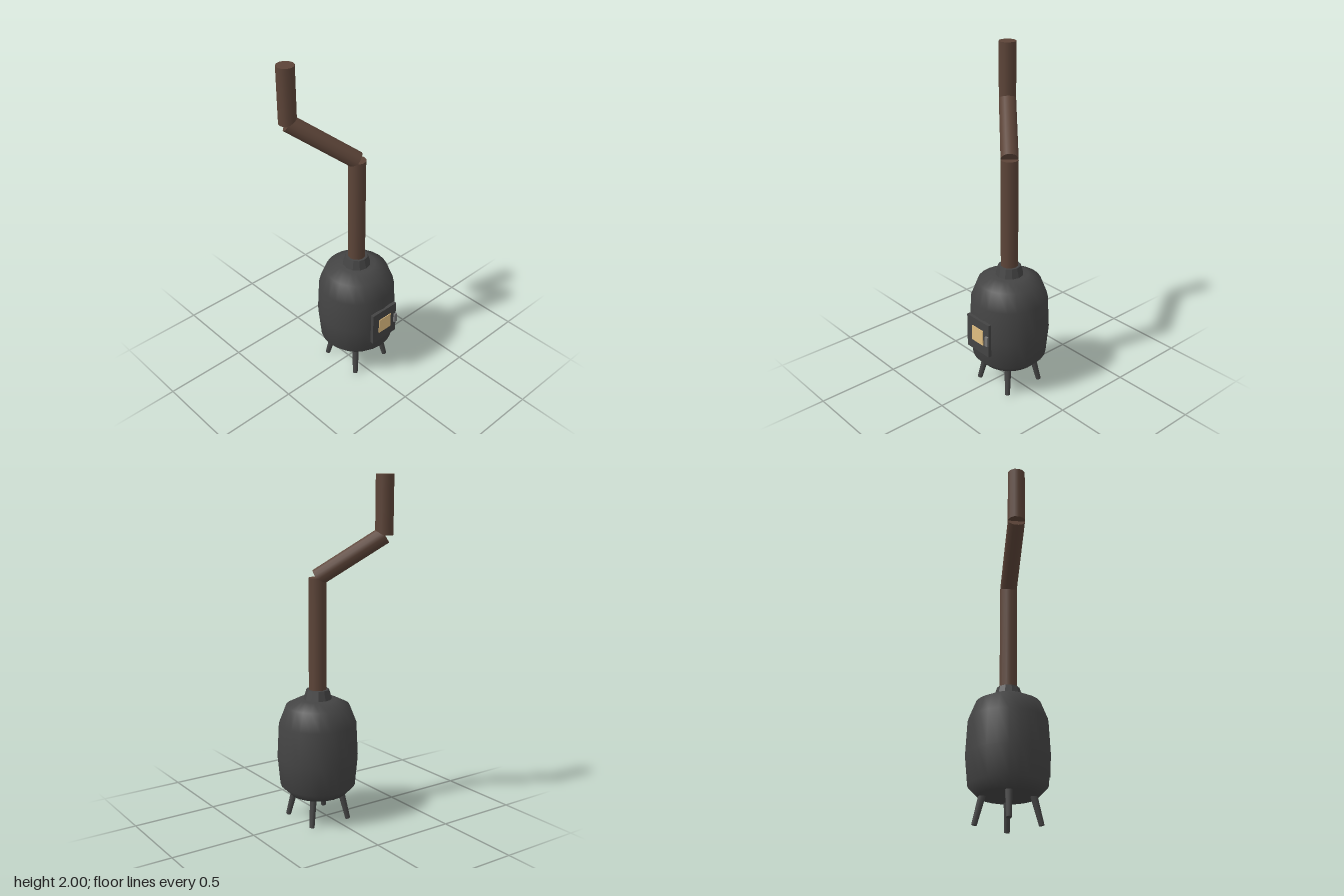
import * as THREE from 'three';

const CX = 0.05, CZ = 0.016; // axis of the stove body

const paint = (color, extra = {}) => new THREE.MeshStandardMaterial({ color, ...extra });
const iron = paint(0x444444);
const ironFlat = paint(0x444444, { flatShading: true });
const rust = paint(0x5c4438);
const steel = paint(0x777777);
const glow = paint(0xe0bd80);

export function createModel() {
  const model = new THREE.Group();

  const add = (name, geometry, material, x = 0, y = 0, z = 0) => {
    const mesh = new THREE.Mesh(geometry, material);
    mesh.name = name;
    mesh.position.set(x, y, z);
    model.add(mesh);
    return mesh;
  };

  // Round bar running from point a to point b
  const bar = (name, a, b, rBottom, rTop, sides, material) => {
    const from = new THREE.Vector3(...a), to = new THREE.Vector3(...b);
    const dir = to.clone().sub(from);
    const mesh = add(name, new THREE.CylinderGeometry(rTop, rBottom, dir.length(), sides), material);
    mesh.position.copy(from).lerp(to, 0.5);
    mesh.quaternion.setFromUnitVectors(new THREE.Vector3(0, 1, 0), dir.normalize());
  };

  // Barrel-shaped firebox
  const profile = [
    [0, 0.16], [0.165, 0.16], [0.22, 0.215], [0.236, 0.385],
    [0.226, 0.585], [0.185, 0.69], [0.11, 0.728], [0, 0.73],
  ].map(([r, y]) => new THREE.Vector2(r, y));
  add('firebox', new THREE.LatheGeometry(profile, 24), iron, CX, 0, CZ);

  // Flue collar
  add('collar', new THREE.CylinderGeometry(0.066, 0.085, 0.065, 12), ironFlat, CX, 0.752, CZ);

  // Stovepipe: riser, slanted run, chimney
  const bendLow = [CX, 1.43, CZ], bendHigh = [-0.235, 1.67, -0.221];
  bar('lowerPipe', [CX, 0.74, CZ], bendLow, 0.051, 0.051, 12, rust);
  bar('slantedPipe', bendLow, bendHigh, 0.051, 0.051, 12, rust);
  bar('upperPipe', bendHigh, [bendHigh[0], 2, bendHigh[2]], 0.051, 0.051, 12, rust);

  // Four splayed legs
  for (const sx of [-1, 1]) {
    for (const sz of [-1, 1]) {
      bar('leg', [CX + sx * 0.127, 0.004, CZ + sz * 0.127], [CX + sx * 0.092, 0.2, CZ + sz * 0.092],
        0.015, 0.021, 8, iron);
    }
  }

  // Door with window and handle
  add('door', new THREE.BoxGeometry(0.19, 0.21, 0.02), iron, CX, 0.405, 0.25);
  add('window', new THREE.BoxGeometry(0.096, 0.096, 0.01), glow, CX, 0.408, 0.259);
  add('handle', new THREE.BoxGeometry(0.02, 0.06, 0.012), steel, 0.135, 0.405, 0.266);

  return model;
}
